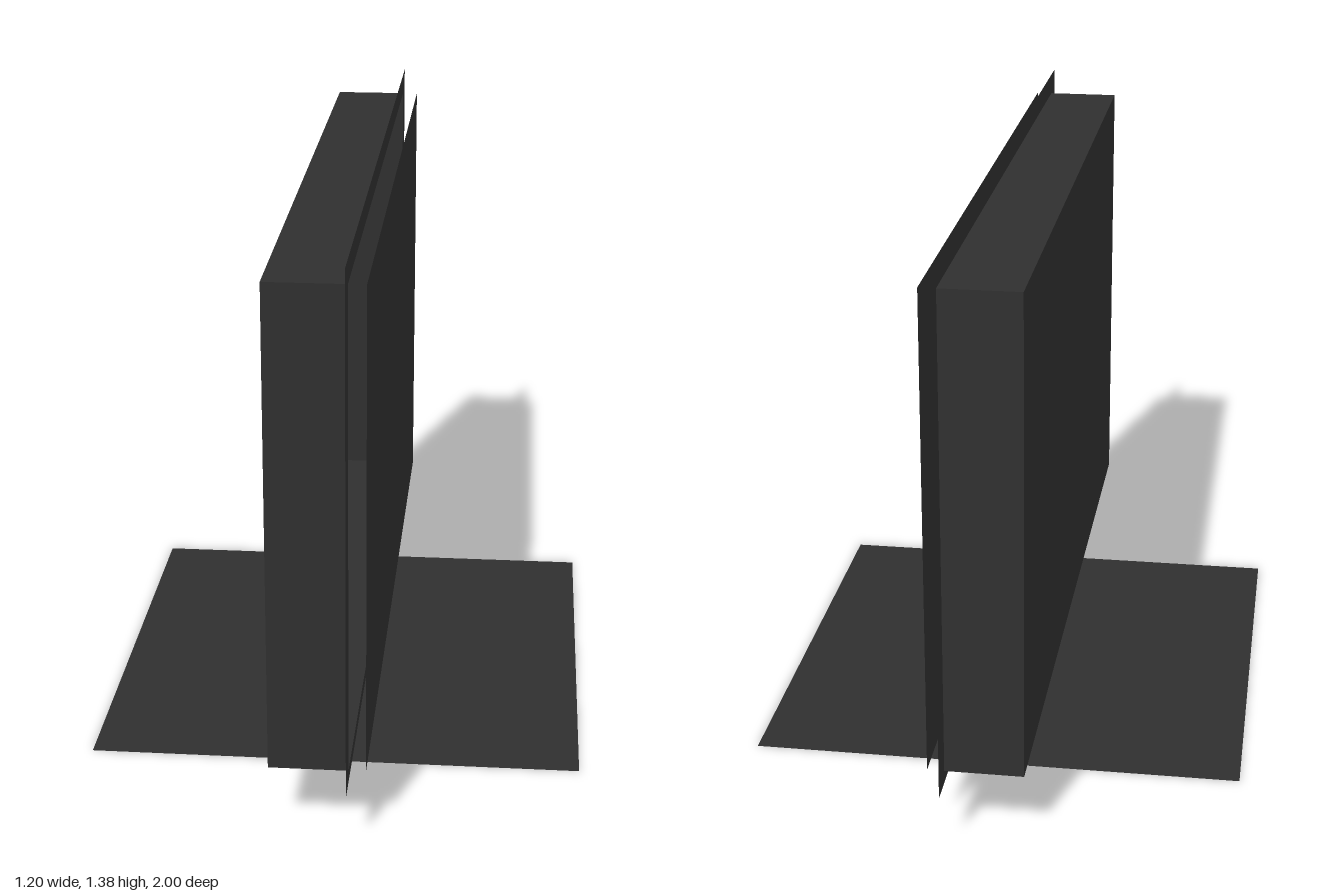
import * as THREE from 'three';

export function createModel() {
  const model = new THREE.Group();
  const charcoal = new THREE.MeshStandardMaterial({ color: 0x303030, side: THREE.DoubleSide });
  charcoal.name = 'charcoal';

  const add = (name, geometry, x, y) => {
    const mesh = new THREE.Mesh(geometry, charcoal);
    mesh.name = name;
    mesh.position.set(x, y, 0);
    model.add(mesh);
  };

  const halfWidth = 0.93, bottom = 0.17, top = 1.33; // screen opening
  const height = top - bottom, middle = (top + bottom) / 2;
  const back = -0.12, front = 0.065;

  // Flat base sheet on the ground
  add('base', new THREE.PlaneGeometry(1.2, 1.2).rotateX(-Math.PI / 2), 0, 0);

  // Housing: a box left open towards the screen (its +x face is dropped)
  const housing = new THREE.BoxGeometry(front - back, height, halfWidth * 2);
  housing.setIndex(Array.from(housing.index.array).slice(6));
  housing.clearGroups();
  add('housing', housing, (front + back) / 2, middle);

  // Bezel: a thin frame with a gap in the middle of its lower rail
  const outline = [
    [0.135, 0.14], [1, 0.14], [1, 1.385], [-1, 1.385], [-1, 0.14], [-0.135, 0.14],
    [-0.125, bottom], [-halfWidth, bottom], [-halfWidth, top],
    [halfWidth, top], [halfWidth, bottom], [0.125, bottom],
  ].map(([u, v]) => new THREE.Vector2(u, v));
  add('bezel', new THREE.ShapeGeometry(new THREE.Shape(outline)).rotateY(Math.PI / 2), front, 0);

  // Screen sheet, set slightly in front of the bezel
  add('screen', new THREE.PlaneGeometry(halfWidth * 2, height).rotateY(Math.PI / 2), 0.105, middle);

  return model;
}
